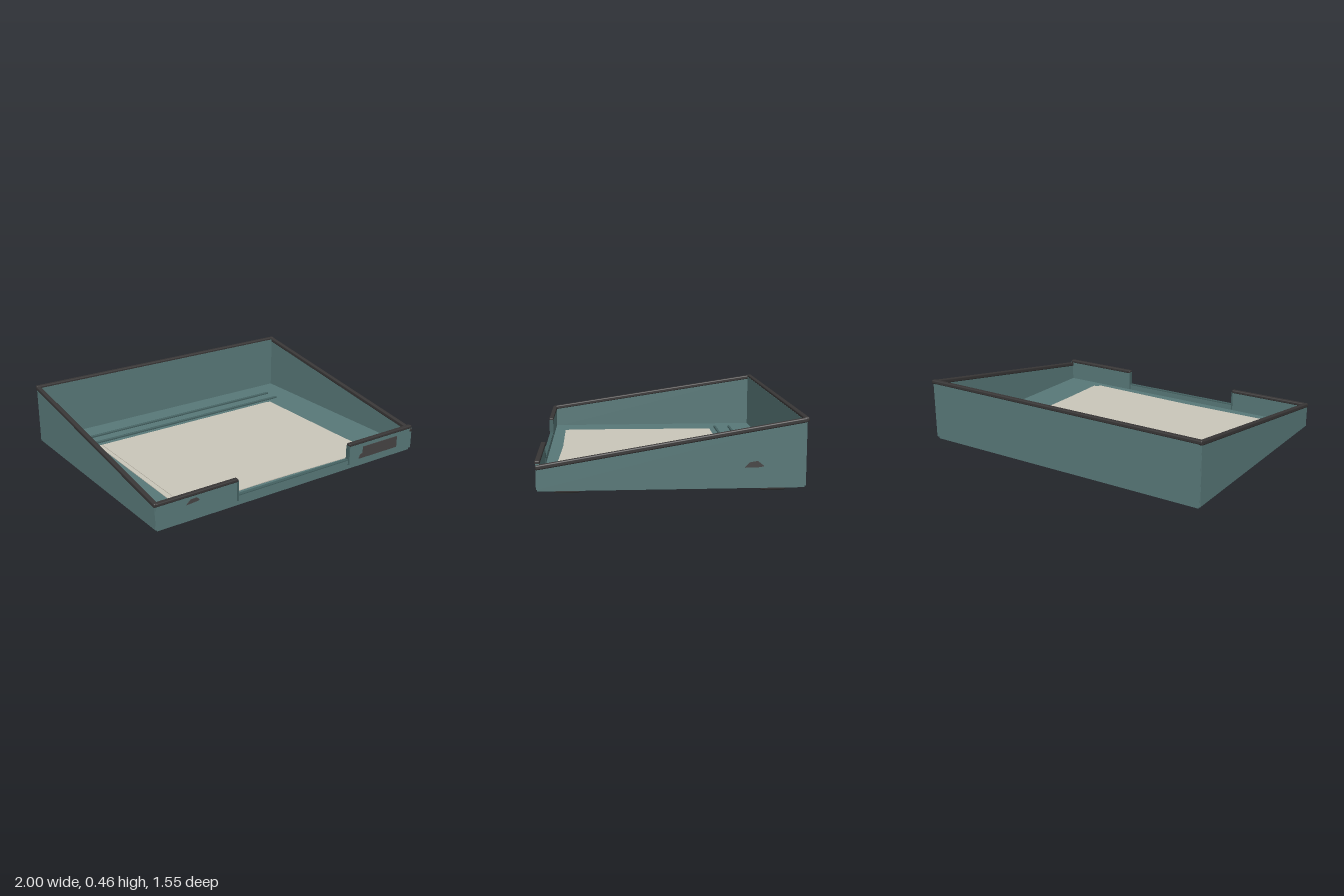
import * as THREE from 'three';
import { RoundedBoxGeometry } from 'three/addons/geometries/RoundedBoxGeometry.js';

const mat = (name, color) => {
  const m = new THREE.MeshStandardMaterial({ color });
  m.name = name;
  return m;
};

export function createModel() {
  const teal = mat('teal shell', 0x587878);
  const darkTeal = mat('dark teal trim', 0x456262);
  const rubber = mat('dark rubber', 0x383636);
  const pad = mat('black pad', 0x242323);
  const badge = mat('badge grey', 0x464444);
  const paper = mat('paper', 0xcac6b9);
  const group = new THREE.Group();

  const add = (name, geometry, material, x = 0, y = 0, z = 0) => {
    const mesh = new THREE.Mesh(geometry, material);
    mesh.name = name;
    mesh.position.set(x, y, z);
    group.add(mesh);
    return mesh;
  };
  const box = (name, w, h, d, material, x, y, z) =>
    add(name, new THREE.BoxGeometry(w, h, d), material, x, y, z);
  const plate = (points, depth) => new THREE.ExtrudeGeometry(
    new THREE.Shape(points.map(p => new THREE.Vector2(...p))), { depth, bevelEnabled: false });
  // Outline drawn in (z, y), thickness running towards -x
  const sidePlate = (points, depth) => plate(points, depth).rotateY(-Math.PI / 2);
  // Rounded bar running between two points
  const bar = (name, a, b, w, h, material) => {
    const p = new THREE.Vector3(...a), q = new THREE.Vector3(...b);
    const r = Math.min(w, h) * 0.3;
    const mesh = add(name, new RoundedBoxGeometry(w, h, p.distanceTo(q), 2, r), material);
    mesh.position.copy(p).add(q).multiplyScalar(0.5);
    mesh.lookAt(q);
  };

  // Base plate and floor
  box('basePlate', 1.96, 0.018, 1.52, teal, 0, 0.056, 0);
  box('floor', 1.97, 0.012, 1.51, teal, 0, 0.067, 0);

  // Sloping side walls; the left one sits a little lower at the front
  for (const [name, x, front, back] of [['leftWall', 0.994, 0.178, 0.435], ['rightWall', -0.974, 0.205, 0.438]]) {
    add(name, sidePlate([[0.763, 0.06], [0.763, front], [-0.763, back], [-0.763, 0.06]], 0.02), teal, x);
  }

  // Back wall, and front wall with a wide cut-out
  box('backWall', 1.98, 0.38, 0.02, teal, 0, 0.25, -0.754);
  add('frontWall', plate([
    [-0.99, 0.06], [0.99, 0.06], [0.99, 0.205], [0.432, 0.205],
    [0.432, 0.112], [-0.432, 0.112], [-0.432, 0.205], [-0.99, 0.205],
  ], 0.02), teal, 0, 0, 0.745);

  // Rim
  bar('leftRim', [0.985, 0.184, 0.767], [0.985, 0.44, -0.767], 0.029, 0.028, rubber);
  bar('rightRim', [-0.985, 0.209, 0.767], [-0.985, 0.44, -0.767], 0.029, 0.028, rubber);
  bar('backRim', [-0.998, 0.443, -0.76], [0.998, 0.443, -0.76], 0.03, 0.024, rubber);
  for (const s of [-1, 1]) {
    bar('frontRim', [s * 0.432, 0.212, 0.756], [s * 0.985, 0.212, 0.756], 0.03, 0.021, rubber);
    box('cutoutTrim', 0.01, 0.13, 0.026, darkTeal, s * 0.434, 0.143, 0.756);
  }
  box('cutoutSill', 0.86, 0.006, 0.023, darkTeal, 0, 0.113, 0.755);

  // Raised ribs across the floor
  for (const z of [-0.575, -0.468]) {
    bar('floorRib', [-0.813, 0.078, z], [0.813, 0.078, z], 0.017, 0.016, darkTeal);
  }

  // Two slightly skewed paper sheets
  const sheets = [
    [[-0.735, -0.418], [0.2, -0.41], [0.715, -0.418], [0.705, 0.65], [0.22, 0.66], [-0.2, 0.655], [-0.755, 0.645]],
    [[-0.71, -0.41], [0.69, -0.416], [0.705, 0.652], [0.675, 0.652], [0.67, 0.682], [-0.1, 0.66], [-0.72, 0.668]],
  ];
  sheets.forEach((points, i) => {
    // Outline drawn in (x, z), laid flat
    const geometry = plate(points.map(([x, z]) => [x, -z]), 0.004).rotateX(-Math.PI / 2);
    add('paperSheet', geometry, paper, 0, 0.073 + i * 0.004, 0);
  });

  // Feet with soft pads
  for (const x of [-0.793, 0.793]) for (const z of [-0.597, 0.597]) {
    add('foot', new RoundedBoxGeometry(0.163, 0.036, 0.152, 2, 0.012), rubber, x, 0.023, z);
    box('footPad', 0.115, 0.012, 0.105, pad, x, 0.006, z);
    box('footMount', 0.11, 0.014, 0.11, rubber, x, 0.043, z);
  }

  // Front plate and small worn marks
  box('namePlate', 0.3, 0.076, 0.006, badge, 0.703, 0.138, 0.767);
  add('namePlateChip', plate([[0.52, 0.1], [0.56, 0.1], [0.56, 0.136], [0.532, 0.126]], 0.005), badge, 0, 0, 0.764);
  add('frontMark', plate([[-0.79, 0.157], [-0.71, 0.163], [-0.702, 0.17], [-0.72, 0.186], [-0.762, 0.184]], 0.005), badge, 0, 0, 0.764);
  add('sideMark', sidePlate([[-0.41, 0.17], [-0.44, 0.2], [-0.484, 0.208], [-0.522, 0.178], [-0.5, 0.172]], 0.005), badge, 0.998);

  return group;
}
